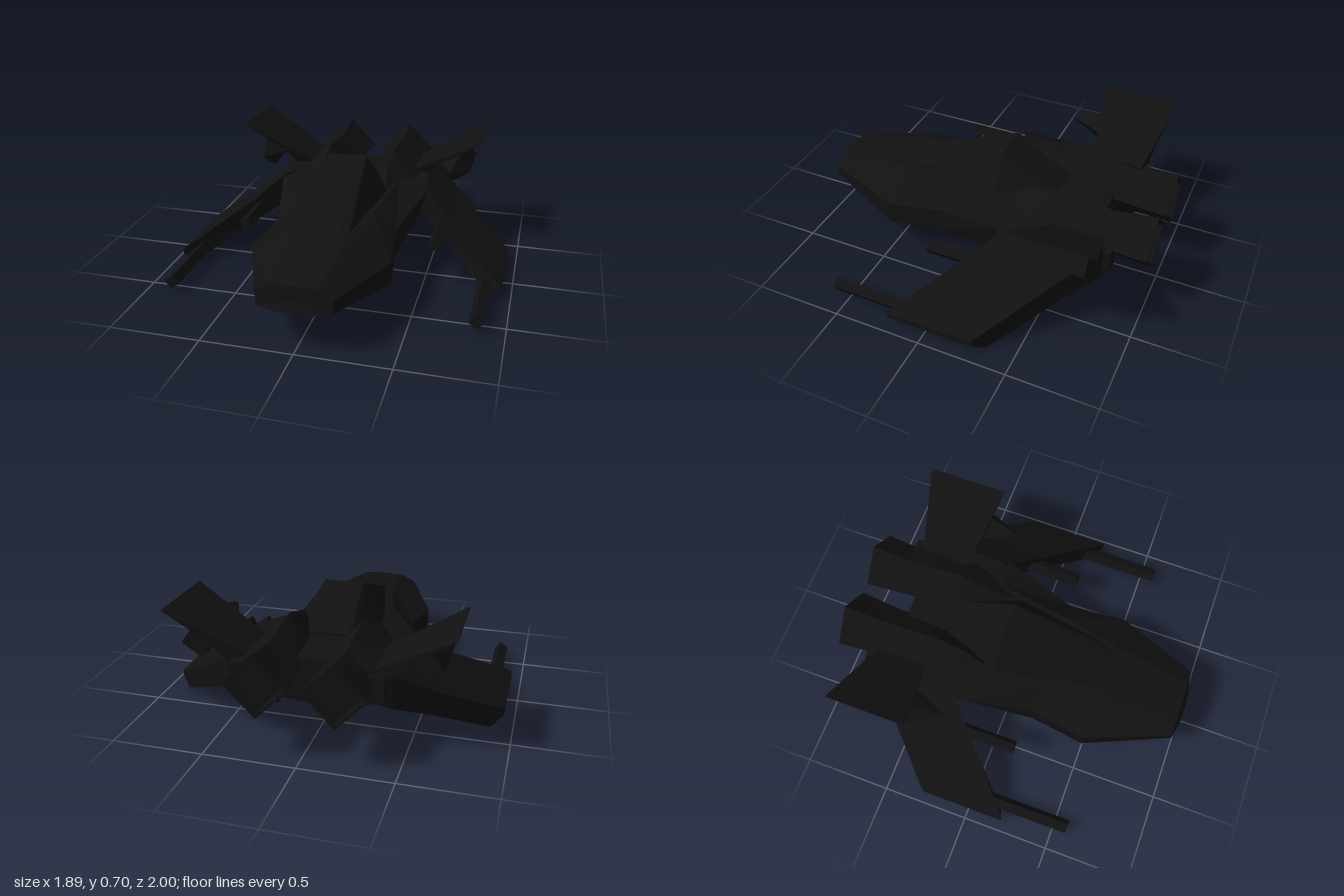
import * as THREE from 'three';

const dark = new THREE.MeshStandardMaterial({ color: 0x111111, flatShading: true });

// Skins a list of equal-length point rings, capping both ends; faces always point outwards.
function loft(rings) {
  const tris = [];
  const n = rings[0].length;
  for (let r = 0; r < rings.length - 1; r++) {
    for (let i = 0; i < n; i++) {
      const j = (i + 1) % n;
      const [a, b, c, d] = [rings[r][i], rings[r][j], rings[r + 1][j], rings[r + 1][i]];
      tris.push([a, b, c], [a, c, d]);
    }
  }
  const cap = (ring, flip) => {
    const mid = [0, 1, 2].map(k => ring.reduce((s, p) => s + p[k], 0) / n);
    ring.forEach((p, i) => {
      const q = ring[(i + 1) % n];
      tris.push(flip ? [mid, q, p] : [mid, p, q]);
    });
  };
  cap(rings[0], true);
  cap(rings[rings.length - 1], false);
  const v = p => new THREE.Vector3(...p);
  const volume = tris.reduce((s, [a, b, c]) => s + v(a).dot(v(b).cross(v(c))), 0);
  if (volume < 0) tris.forEach(t => t.reverse());
  const geo = new THREE.BufferGeometry();
  geo.setAttribute('position', new THREE.Float32BufferAttribute(tris.flat(2), 3));
  geo.computeVertexNormals();
  return geo;
}

// Turns half a cross-section (bottom centre to top centre) into a full ring.
const symmetric = half => [...half, ...half.slice(1, -1).reverse().map(([x, y, z]) => [-x, y, z])];

// Four-cornered diamond section at depth z.
const diamond = (z, inner, outer, bottom, top, cx = 0.2, cy = 0.42) =>
  [[cx, bottom, z], [outer, cy, z], [cx, top, z], [inner, cy, z]];

export function createModel() {
  const model = new THREE.Group();
  const add = (name, rings, parent = model) => {
    const mesh = new THREE.Mesh(loft(rings), dark);
    mesh.name = name;
    parent.add(mesh);
  };
  const addPair = (name, rings) => {
    const pair = new THREE.Group();
    pair.name = name + 's';
    add(name + 'Left', rings, pair);
    add(name + 'Right', rings.map(r => r.map(([x, y, z]) => [-x, y, z])), pair);
    model.add(pair);
  };

  // Faceted hull, from the blunt nose to the tail: [z, belly, lower edge, side, shoulder, deck]
  const hull = [
    [0.5, 0.195, [0.27, 0.195], [0.385, 0.18], [0.385, 0.31], [0.16, 0.43], 0.435],
    [0.18, 0.2, [0.25, 0.2], [0.345, 0.195], [0.345, 0.34], [0.22, 0.445], 0.45],
    [-0.24, 0.19, [0.25, 0.205], [0.4, 0.25], [0.45, 0.43], [0.28, 0.47], 0.47],
    [-0.62, 0.165, [0.25, 0.19], [0.4, 0.26], [0.43, 0.43], [0.28, 0.46], 0.46],
    [-0.69, 0.2, [0.14, 0.21], [0.3, 0.28], [0.32, 0.42], [0.12, 0.45], 0.45],
  ].map(([z, belly, a, b, c, d, deck]) =>
    symmetric([[0, belly, z], [...a, z], [...b, z], [...c, z], [...d, z], [0, deck, z]]));
  const nose = symmetric([[0, 0.23, 1], [0.1, 0.23, 0.995], [0.19, 0.24, 0.975],
    [0.205, 0.32, 0.965], [0.12, 0.36, 0.965], [0, 0.365, 0.965]]);
  add('hull', [nose, ...hull]);

  // Cockpit canopy: [z, base half width, base y, top half width, top y]
  add('canopy', [
    [0.5, 0.15, 0.42, 0.1, 0.435],
    [-0.09, 0.245, 0.44, 0.11, 0.665],
    [-0.28, 0.18, 0.45, 0.11, 0.54],
    [-0.4, 0.14, 0.45, 0.1, 0.475],
  ].map(([z, bw, by, tw, ty]) => [[-bw, by, z], [bw, by, z], [tw, ty, z], [-tw, ty, z]]));

  // Diamond engine housings with flared, slightly recessed nozzles
  addPair('engineHousing', [
    diamond(-0.14, 0.17, 0.28, 0.36, 0.48, 0.22),
    diamond(-0.28, 0.1, 0.36, 0.28, 0.54),
    diamond(-0.44, 0.06, 0.39, 0.2, 0.59),
    diamond(-0.68, 0.05, 0.42, 0.17, 0.57),
    diamond(-0.8, 0.06, 0.39, 0.26, 0.55),
  ]);
  addPair('nozzle', [
    diamond(-0.7, 0.055, 0.345, 0.265, 0.545),
    diamond(-1, 0.03, 0.37, 0.245, 0.59),
    diamond(-1, 0.05, 0.35, 0.265, 0.57),
    diamond(-0.96, 0.06, 0.34, 0.275, 0.56),
  ]);

  // Drooping wings, swept forward: root, knee and tip sections
  addPair('wing', [
    [[0.36, 0.31, -0.31], [0.36, 0.45, -0.31], [0.36, 0.45, -0.8], [0.36, 0.3, -0.8]],
    [[0.43, 0.27, -0.26], [0.43, 0.45, -0.26], [0.43, 0.45, -0.77], [0.43, 0.27, -0.77]],
    [[0.6, 0.17, -0.1], [0.6, 0.31, -0.1], [0.6, 0.31, -0.6], [0.6, 0.17, -0.6]],
    [[0.88, 0, 0.18], [0.925, 0.095, 0.2], [0.925, 0.095, -0.3], [0.88, 0, -0.34]],
    [[0.945, 0.05, 0.21], [0.945, 0.08, 0.21], [0.945, 0.08, -0.28], [0.945, 0.05, -0.28]],
  ]);
  // Root fairings behind the wings
  addPair('wingFairing', [-0.6, -0.82].map((z, i) =>
    [[0.3, 0.3, z], [0.4 + 0.03 * (1 - i), 0.32, z], [0.4 + 0.03 * (1 - i), 0.44, z], [0.3, 0.46, z]]));

  // Raised tail fins thinning to a sharp tip
  addPair('fin', [
    [[0.32, 0.46, -0.48], [0.42, 0.44, -0.48], [0.43, 0.44, -0.78], [0.32, 0.46, -0.76]],
    [[0.5, 0.563, -0.44], [0.52, 0.53, -0.44], [0.52, 0.53, -0.795], [0.5, 0.563, -0.795]],
    [[0.74, 0.7, -0.39], [0.742, 0.697, -0.39], [0.742, 0.697, -0.845], [0.74, 0.7, -0.845]],
  ]);
  // Pods slung under the fins, pointed at the front
  const podRing = (z, s) => [[0.575, 0.43], [0.68, 0.5], [0.61, 0.6], [0.5, 0.53]]
    .map(([x, y]) => [0.58 + (x - 0.58) * s, 0.54 + (y - 0.54) * s, z]);
  addPair('finPod', [podRing(-0.77, 1), podRing(-0.43, 1), podRing(-0.26, 0.08)]);

  // Square cannon barrels leaning with the wing: [name, x, y, front z, rear z]
  for (const [name, x, y, front, rear] of [
    ['outerCannon', 0.85, 0.063, 0.58, -0.1],
    ['innerCannon', 0.56, 0.262, 0.15, -0.35],
  ]) {
    addPair(name, [front, rear].map(z => [0, 1, 2, 3].map(i => {
      const a = Math.PI / 4 + i * Math.PI / 2 - 0.54;
      return [x + 0.041 * Math.cos(a), y + 0.041 * Math.sin(a), z];
    })));
  }
  return model;
}
